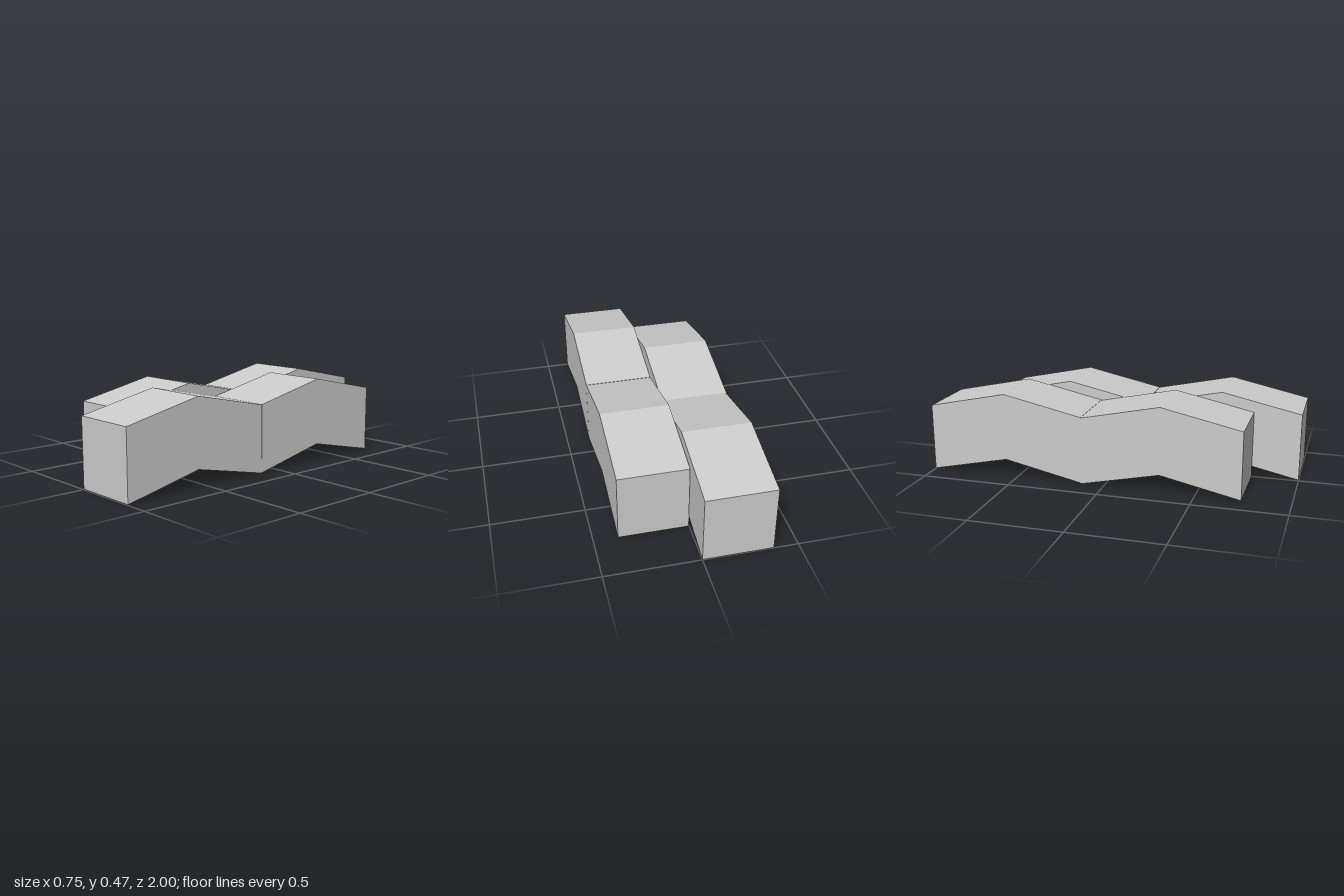
import * as THREE from 'three';

const WIDTH = 0.37, LENGTH = 0.873, HEIGHT = 0.371, RISE = 0.094;

// Chevron profile (along z, up y) extruded across x
function chevronGeometry() {
  const h = LENGTH / 2;
  const shape = new THREE.Shape([
    [-h, 0], [0, RISE], [h, 0], [h, HEIGHT], [0, HEIGHT + RISE], [-h, HEIGHT],
  ].map(([z, y]) => new THREE.Vector2(z, y)));
  const geometry = new THREE.ExtrudeGeometry(shape, { depth: WIDTH, bevelEnabled: false });
  geometry.translate(0, 0, -WIDTH / 2);
  geometry.rotateY(-Math.PI / 2);
  return geometry;
}

export function createModel() {
  const model = new THREE.Group();
  model.name = 'chevronBlocks';
  const geometry = chevronGeometry();
  const material = new THREE.MeshStandardMaterial({ color: 0xcccccc, flatShading: true });

  // Two staggered rows of two blocks, laid with small offsets: x, y, z of each block
  const blocks = {
    leftFrontBlock: [0.188, 0.003, 0.5635],
    leftBackBlock: [0.188, 0.003, -0.3125],
    rightFrontBlock: [-0.19, 0, 0.307],
    rightBackBlock: [-0.185, 0.002, -0.5635],
  };
  for (const [name, position] of Object.entries(blocks)) {
    const block = new THREE.Mesh(geometry, material);
    block.name = name;
    block.position.set(...position);
    model.add(block);
  }
  return model;
}
